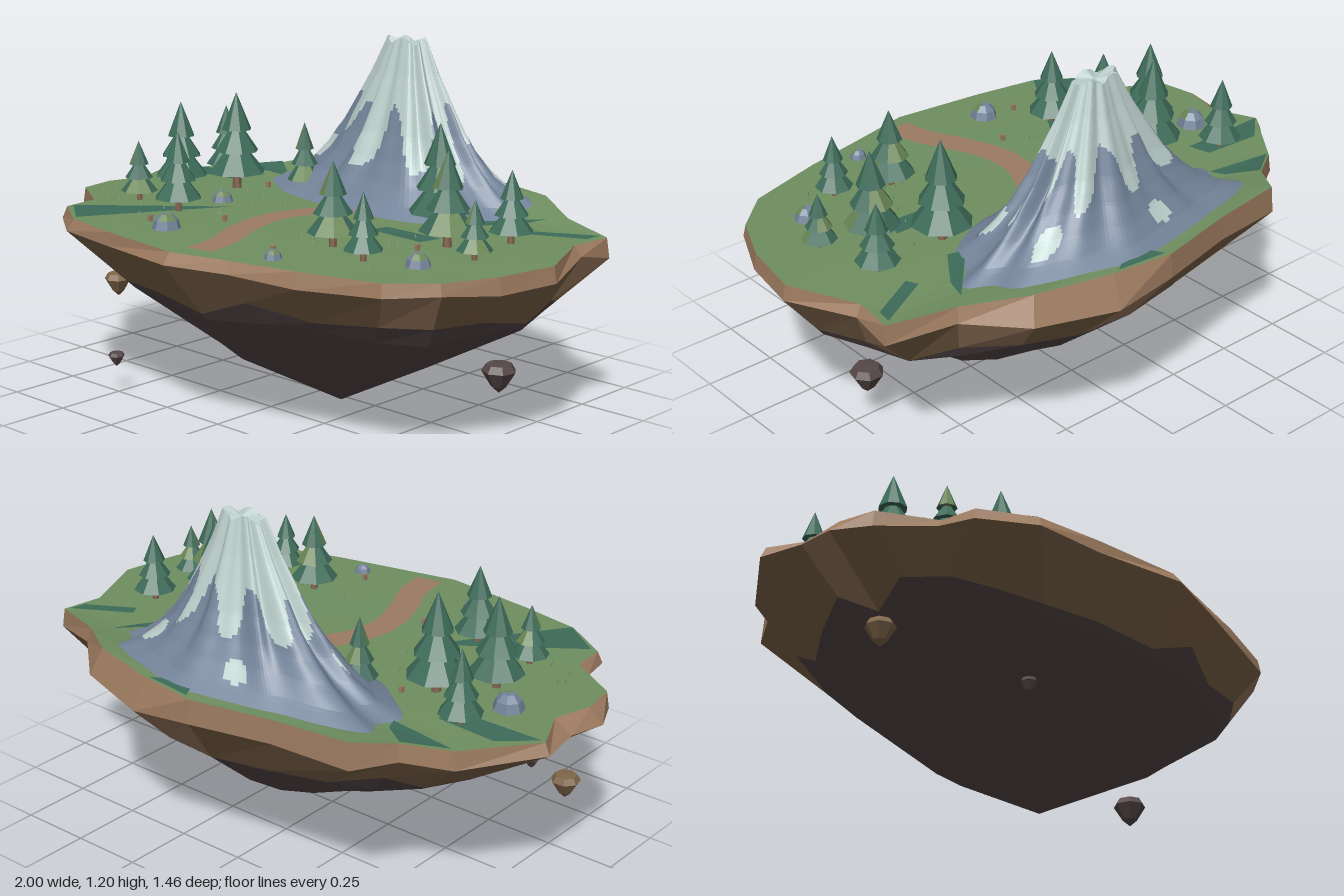
import * as THREE from 'three';

const mat = (name, color, side = THREE.FrontSide) => {
  const m = new THREE.MeshStandardMaterial({ color, flatShading: true, side });
  m.name = name;
  return m;
};

export function createModel() {
  const model = new THREE.Group();
  model.name = 'floatingIsland';
  const M = {
    grass: mat('grass green', 0x6f8f60),
    pine: mat('pine green', 0x3d6b59, THREE.DoubleSide),
    leaf: mat('light leaf green', 0x6a8655),
    soil: mat('light soil', 0x9c7a5f),
    earth: mat('brown earth', 0x80664b),
    deep: mat('deep rock', 0x554747),
    rock: mat('blue grey rock', 0x74849a),
    snow: mat('snow', 0xbccfcc),
    path: mat('path clay', 0x9c7b64),
    trunk: mat('trunk brown', 0x846550),
  };
  let seed = 7;
  const rnd = () => (seed = (seed * 16807) % 2147483647) / 2147483647;
  const V = (x, y, z) => new THREE.Vector3(x, y, z);
  const { lerp, clamp, smoothstep } = THREE.MathUtils;
  // ground domes slightly and rises toward the back
  const ground = (x, z) =>
    0.625 + 0.048 * (1 - smoothstep(z, -0.65, -0.35)) + 0.008 * Math.max(0, 1 - x * x - 2 * z * z);

  function add(name, geo, material, parent = model) {
    const mesh = new THREE.Mesh(geo, material);
    mesh.name = name;
    parent.add(mesh);
    return mesh;
  }
  // skin between successive rows of points; keep(column, row) can select cells
  function skin(rows, closed, keep = () => true) {
    const pos = [];
    for (let r = 0; r < rows.length - 1; r++) {
      const L = rows[r], U = rows[r + 1], n = L.length;
      for (let i = 0; i < (closed ? n : n - 1); i++) {
        if (!keep(i, r)) continue;
        const j = (i + 1) % n;
        for (const p of [L[i], U[i], L[j], L[j], U[i], U[j]]) pos.push(p.x, p.y, p.z);
      }
    }
    const g = new THREE.BufferGeometry();
    g.setAttribute('position', new THREE.Float32BufferAttribute(pos, 3));
    g.computeVertexNormals();
    return g;
  }

  // ---- island: grass top, soil rim, earth band, tapering rock; third value is how far the rim juts out
  const outline = [
    [0.9, -0.4, 1.01], [0.88, -0.25, 1.03], [0.99, 0, 1.01], [0.95, 0.22, 1.01], [0.87, 0.4, 1.01],
    [0.74, 0.52, 1.01], [0.46, 0.6, 1.02], [0.22, 0.65, 1.03], [0, 0.7, 1.04], [-0.34, 0.66, 1.01],
    [-0.57, 0.62, 1.03], [-0.74, 0.51, 1.02], [-0.75, 0.38, 1.04], [-0.93, 0.27, 1.01], [-0.95, 0.14, 1.05],
    [-0.91, 0, 1.07], [-0.98, -0.155, 1.02], [-0.8, -0.385, 1.01], [-0.66, -0.48, 1.01], [-0.57, -0.61, 1.01],
    [-0.29, -0.65, 1.01], [0, -0.71, 1.01], [0.22, -0.68, 1.07], [0.49, -0.61, 1.06], [0.68, -0.48, 1.02],
  ];
  const count = outline.length;
  const grassRows = [1, 0.92, 0.84, 0.76, 0.68, 0.6, 0.5, 0.3, 0].map((s) =>
    outline.map(([x, z]) => V(x * s, ground(x * s, z * s), z * s)));
  add('grassTop', skin(grassRows, true), M.grass);

  const rim = outline.map(([x, z, k]) => V(clamp(x * k, -1, 1), 0.56 + 0.035 * rnd(), clamp(z * k, -0.73, 0.73)));
  // lower rings follow a smoothed outline, higher on the +x side
  const ring = (s, y, lift, dx, dz) => outline.map(([x, z], i) => {
    const a = outline[(i + count - 1) % count], b = outline[(i + 1) % count];
    const k = 1.02 * s * (0.97 + 0.06 * rnd());
    return V((x * 2 + a[0] + b[0]) / 4 * k + dx, y + lift * Math.max(0, x) + 0.03 * (rnd() - 0.5),
      (z * 2 + a[1] + b[1]) / 4 * k + dz);
  });
  const shoulder = ring(0.81, 0.395, 0, 0.055, 0);
  const waist = ring(0.48, 0.195, 0.06, 0.12, 0.025);
  const tip = outline.map(() => V(0.12, 0, 0.03));
  const stain = rim.map((p, i) => p.clone().lerp(shoulder[i], 0.55 + 0.45 * rnd()));
  const pale = outline.map(() => rnd() < 0.3);
  add('soilRim', skin([rim, grassRows[0]], true), M.soil);
  add('earthBand', skin([stain, rim], true, (i) => !pale[i]), M.earth);
  add('paleEarthFacets', skin([stain, rim], true, (i) => pale[i]), M.soil);
  add('islandUnderside', skin([tip, waist, shoulder, stain], true), M.deep);

  // ---- mountain: folded cone with a scalloped foot
  const foot = new THREE.CatmullRomCurve3([
    [0.59, -0.385], [0.52, -0.31], [0.47, -0.2], [0.3, -0.1], [-0.02, -0.085], [-0.34, -0.155], [-0.45, -0.225],
    [-0.55, -0.31], [-0.53, -0.4], [-0.56, -0.49], [-0.43, -0.565], [-0.29, -0.6], [-0.1, -0.645], [0.11, -0.675],
    [0.3, -0.62], [0.4, -0.585], [0.5, -0.53], [0.52, -0.46],
  ].map(([x, z]) => V(x, 0, z)), true);
  const cx = 0.05, cz = -0.39, cols = 200, layers = 48;
  const profile = [[0, 1.03], [0.08, 0.84], [0.18, 0.69], [0.3, 0.56], [0.45, 0.44], [0.64, 0.33], [0.8, 0.24], [1, 0.145]];
  const columns = Array.from({ length: cols }, (_, i) => {
    const p = foot.getPoint(i / cols);
    return { p, a: Math.atan2((p.z - cz) * 2, p.x - cx) };
  });
  const mountainRows = Array.from({ length: layers + 1 }, (_, r) => {
    const t = r / layers;
    const k = Math.max(1, profile.findIndex(([h]) => h >= t));
    const [t0, s0] = profile[k - 1], [t1, s1] = profile[k];
    return columns.map(({ p, a }) => {
      const fold = 1 + Math.min(1, t * 2.5) * (0.06 * Math.sin(11 * a) + 0.04 * Math.sin(17 * a + 1));
      const s = lerp(s0, s1, (t - t0) / (t1 - t0)) * fold;
      return V(cx + (p.x - cx) * s, lerp(ground(p.x, p.z) - 0.01, 1.192 + 0.01 * Math.sin(5 * a), t), cz + (p.z - cz) * s);
    });
  });
  mountainRows.push(columns.map(() => V(cx, 1.185, cz)));
  // snow tongues (degrees, depth, half width) and loose patches (degrees, height, half width, half height)
  const tongues = [[98, 0.37, 12], [57, 0.37, 14], [137, 0.2, 9], [20, 0.4, 8], [215, 0.3, 11],
    [256, 0.32, 12], [301, 0.33, 11], [340, 0.22, 8], [180, 0.25, 8]];
  const patches = [[43, 0.19, 9, 0.08], [250, 0.15, 7, 0.06], [322, 0.18, 9, 0.08], [165, 0.28, 7, 0.08]];
  const isSnow = (i, r) => {
    const a = columns[i].a, deg = a * 180 / Math.PI, t = (r + 0.5) / layers;
    const gap = (d) => Math.abs(((deg - d + 900) % 360) - 180);
    const line = 0.62 + 0.03 * Math.sin(a * 9);
    return t > line || tongues.some(([d, depth, w]) => t > line - depth * Math.exp(-((gap(d) / w) ** 4)))
      || patches.some(([d, h, w, v]) => (gap(d) / w) ** 2 + ((t - h) / v) ** 2 < 1);
  };
  add('mountainRock', skin(mountainRows, true, (i, r) => !isSnow(i, r)), M.rock);
  add('mountainSnow', skin(mountainRows, true, isSnow), M.snow);

  // ---- winding path
  const way = new THREE.CatmullRomCurve3([[0.05, -0.12], [-0.01, -0.02], [-0.06, 0.1], [-0.065, 0.22], [-0.02, 0.37],
    [0.04, 0.5], [0.065, 0.63]].map(([x, z]) => V(x, 0, z)));
  const edge = (side) => way.getPoints(24).map((p, i) => {
    const d = way.getTangent(i / 24);
    return V(p.x + d.z * 0.05 * side, ground(p.x, p.z) + 0.005, p.z - d.x * 0.05 * side);
  });
  add('path', skin([edge(1), edge(-1)], false), M.path);

  // ---- dark grass patches, four corners each
  for (const q of [
    [[-0.97, -0.16], [-0.62, -0.17], [-0.64, -0.25], [-0.86, -0.26]],
    [[-0.79, -0.385], [-0.54, -0.35], [-0.56, -0.4], [-0.66, -0.475]],
    [[-0.72, 0.5], [-0.57, 0.61], [-0.42, 0.38], [-0.28, 0.16]],
    [[0.29, 0.08], [0.52, 0.09], [0.54, 0.01], [0.31, 0.01]],
    [[0.68, -0.28], [0.7, -0.24], [0.87, -0.33], [0.88, -0.39]],
    [[0.02, -0.7], [0.04, -0.66], [0.17, -0.66], [0.2, -0.68]],
    [[0.44, -0.22], [0.5, -0.2], [0.6, -0.34], [0.63, -0.43]],
  ]) {
    const [a, b, c, d] = q.map(([x, z]) => V(x, ground(x, z) + 0.006, z));
    add('darkGrass', skin([[d, c], [a, b]], false), M.pine);
  }

  // ---- pines: x, z, radius, top height, whether some needles are light
  const trees = [
    [-0.71, -0.23, 0.075, 0.89, 0], [-0.51, -0.09, 0.105, 0.98, 0], [-0.64, 0.06, 0.095, 0.95, 0],
    [-0.62, 0.28, 0.065, 0.84, 1], [-0.39, 0.305, 0.083, 0.91, 0], [-0.3, -0.225, 0.063, 0.88, 1],
    [0.44, -0.1, 0.105, 0.99, 0], [0.72, -0.125, 0.075, 0.87, 0], [0.605, 0.055, 0.095, 0.945, 1],
    [0.77, 0.12, 0.06, 0.82, 1], [0.34, 0.305, 0.085, 0.91, 1], [0.53, 0.37, 0.065, 0.85, 0],
  ];
  for (const [x, z, r, top, light] of trees) {
    const tree = new THREE.Group(), y0 = ground(x, z) - 0.005, h = top - y0;
    tree.name = 'pineTree';
    tree.position.set(x, y0, z);
    tree.rotation.y = rnd() - 0.5;
    model.add(tree);
    add('trunk', new THREE.CylinderGeometry(r * 0.12, r * 0.16, h * 0.3, 6), M.trunk, tree).position.y = h * 0.15;
    [[0.18, 0.38, 1], [0.4, 0.34, 0.76], [0.62, 0.38, 0.52]].forEach(([b, th, k], i) => {
      const slice = Math.PI / 4, lit = light ? 2 : 0, start = i * 3;
      const tier = (name, m, from, n) => {
        const c = add(name, new THREE.ConeGeometry(r * k, h * th, n, 1, false, from * slice, n * slice), m, tree);
        c.position.y = h * (b + th / 2);
      };
      tier('needles', M.pine, start + lit, 8 - lit);
      if (lit) tier('lightNeedles', M.leaf, start, lit);
    });
  }

  // ---- mossy boulders
  for (const [x, z, r] of [[-0.76, -0.04, 0.055], [-0.38, 0.105, 0.038], [-0.235, 0.5, 0.05], [0.695, 0.3, 0.043],
    [0.305, 0.54, 0.03]]) {
    const y = ground(x, z);
    const layer = (name, m, low, high, h, mid, n, from) => {
      const slice = Math.PI * 2 / 7;
      const geo = new THREE.CylinderGeometry(r * high, r * low, r * h, n, 1, false, from * slice, n * slice);
      add(name, geo, m).position.set(x, y + r * mid, z);
    };
    layer('boulder', M.rock, 1, 0.8, 0.6, 0.28, 7, 0);
    layer('boulderCap', M.rock, 0.8, 0.4, 0.4, 0.78, 5, 2);
    layer('moss', M.leaf, 0.8, 0.4, 0.4, 0.78, 2, 0);
  }

  // ---- grass tufts and tiny flowers
  for (let i = 0; i < 60; i++) {
    const a = rnd() * Math.PI * 2, d = 0.25 + 0.6 * rnd();
    const x = Math.cos(a) * d * 0.95, z = 0.18 + Math.sin(a) * d * 0.5;
    if (z < -0.08 || Math.abs(x) < 0.13) continue;
    add('grassTuft', new THREE.ConeGeometry(0.006, 0.022, 4), M.grass).position.set(x, ground(x, z) + 0.01, z);
  }
  for (const [x, z] of [[-0.35, 0.47], [0.25, 0.485], [0.57, 0.16], [-0.16, 0.305], [-0.54, 0.2], [-0.43, -0.17]])
    add('flower', new THREE.BoxGeometry(0.013, 0.022, 0.013), M.path).position.set(x, ground(x, z) + 0.01, z);

  // ---- drifting stones below
  for (const [x, y, z, r, m] of [[-0.83, 0.27, 0.21, 0.05, M.earth], [-0.495, 0.122, 0.51, 0.029, M.deep],
    [0.735, 0.195, -0.06, 0.058, M.deep]]) {
    const gem = [[0, -0.9], [0.45, -0.5], [1, 0.4], [0.75, 0.8], [0, 0.85]].map(([a, b]) => new THREE.Vector2(a * r, b * r));
    add('driftingStone', new THREE.LatheGeometry(gem, 7), m).position.set(x, y, z);
  }
  return model;
}
